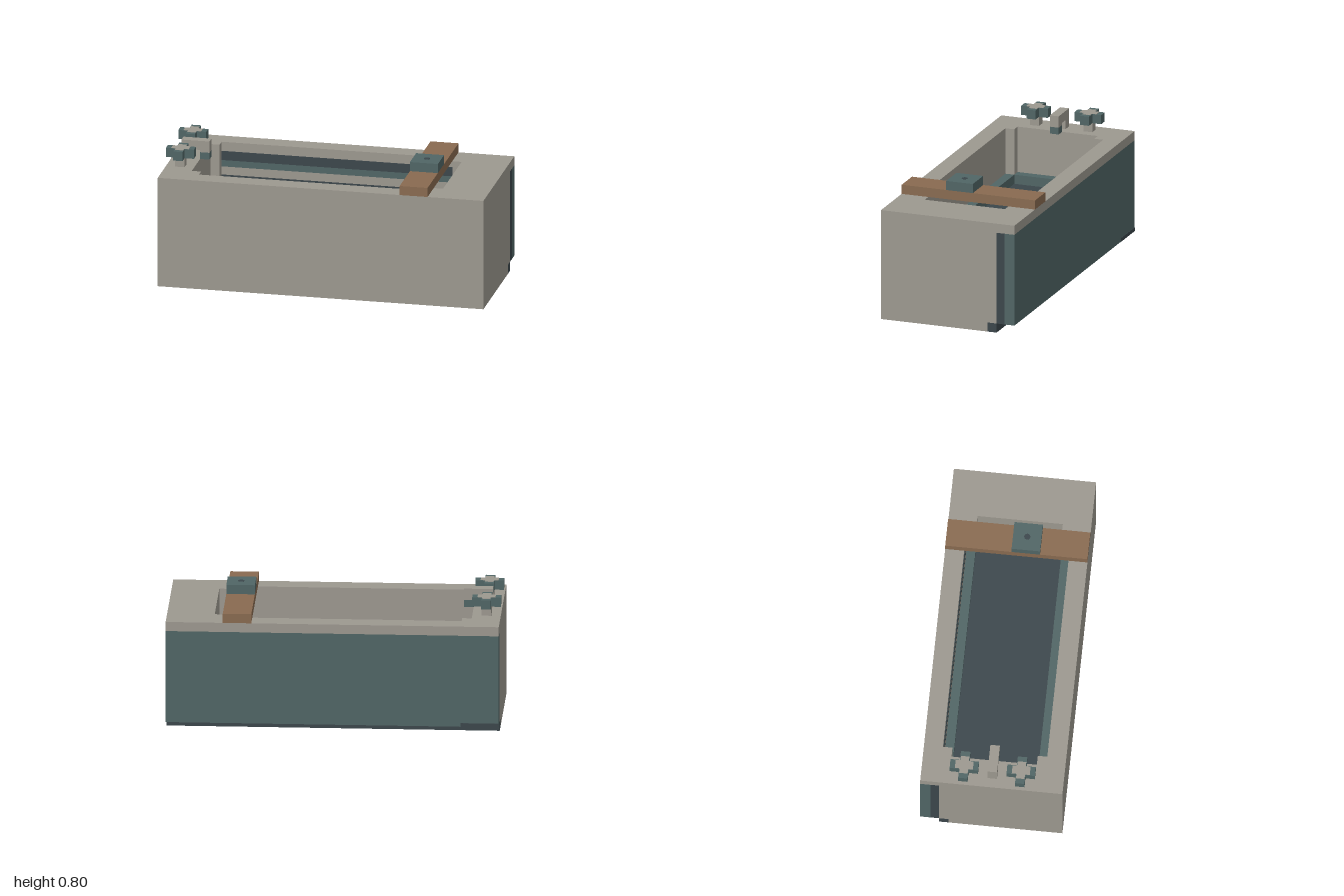
import * as THREE from 'three';

// All sizes are in grid cells: 35 long (x), 12 high (y), 15 deep (z, 0 is the back)
const U = 2 / 35;

const mat = (name, color) => {
  const m = new THREE.MeshStandardMaterial({ color });
  m.name = name;
  return m;
};

export function createModel() {
  const stone = mat('stone', 0x9c988f);
  const teal = mat('teal', 0x506565);
  const dark = mat('darkSlate', 0x3b464b);
  const wood = mat('wood', 0x886a50);

  const model = new THREE.Group();
  model.name = 'bathtub';
  model.scale.setScalar(U);
  const tub = new THREE.Group();
  tub.position.set(-17.5, 0, -7.5);
  model.add(tub);

  const add = (name, geometry, material, parent = tub) => {
    const mesh = new THREE.Mesh(geometry, material);
    mesh.name = name;
    parent.add(mesh);
    return mesh;
  };
  const box = (name, material, [x0, x1], [y0, y1], [z0, z1], parent = tub) => {
    const g = new THREE.BoxGeometry(x1 - x0, y1 - y0, z1 - z0);
    g.translate((x0 + x1) / 2, (y0 + y1) / 2, (z0 + z1) / 2);
    return add(name, g, material, parent);
  };
  // Horizontal slab from an outline of [x, z] corners
  const slab = (name, material, outline, [y0, y1], hole) => {
    const points = (list) => list.map(([x, z]) => new THREE.Vector2(x, -z));
    const shape = new THREE.Shape(points(outline));
    if (hole) shape.holes.push(new THREE.Path(points(hole)));
    const g = new THREE.ExtrudeGeometry(shape, { depth: y1 - y0, bevelEnabled: false });
    g.rotateX(-Math.PI / 2);
    g.translate(0, y0, 0);
    return add(name, g, material);
  };

  // Stone shell: a U-shaped wall open to the back, closed by the rim on top
  const basin = [[4, 2], [4, 3], [3, 3], [3, 12], [4, 12], [4, 13], [29, 13],
    [29, 12], [30, 12], [30, 3], [29, 3], [29, 2]];
  slab('wall', stone, [[0, 2], ...basin, [35, 2], [35, 15], [0, 15]], [1, 11]);
  slab('rim', stone, [[0, 0], [35, 0], [35, 15], [0, 15]], [11, 12], basin);
  box('base', stone, [0, 35], [0, 1], [3, 15]);

  // Basin floor with raised ledges on three sides
  box('basinFloor', dark, [4, 30], [5.8, 6], [3, 12]);
  box('backLedge', teal, [4, 29], [6, 7], [2, 3]);
  box('frontLedge', teal, [4, 29], [6, 7], [12, 13]);
  box('endLedge', teal, [3, 4], [6, 7], [3, 12]);

  // Back panel, its dark seam and the recessed plinth
  box('backPanel', teal, [0, 35], [1, 11], [0, 1.1]);
  box('panelSeam', dark, [0, 35], [1, 11], [1.1, 2]);
  box('plinth', dark, [0, 35], [0, 1], [2, 3]);
  box('panelChip', dark, [0, 4], [1, 1.4], [-0.03, 0]);

  // Striped lining inside the back wall
  const stripes = [[7, 7.7, stone], [7.7, 8.4, dark], [8.4, 9.3, stone],
    [9.3, 10, teal], [10, 11, dark]];
  for (const [y0, y1, material] of stripes) {
    box('liningStripe', material, [4, 29], [y0, y1], [2, 2.06]);
  }

  // Star-shaped tap knobs on stems
  for (const z of [4.5, 10.5]) {
    const tap = new THREE.Group();
    tap.name = 'tap';
    tap.position.set(1.5, 0, z);
    tub.add(tap);
    box('tapStem', stone, [-0.5, 0.5], [12, 13], [-0.5, 0.5], tap);
    box('knobHub', teal, [-0.5, 0.5], [13, 14], [-0.5, 0.5], tap);
    box('knobCap', stone, [-0.5, 0.5], [14, 14.03], [-0.5, 0.5], tap);
    for (let i = 0; i < 4; i++) {
      const arm = new THREE.Group();
      arm.name = 'knobArm';
      arm.rotation.y = i * Math.PI / 2;
      tap.add(arm);
      box('armBlock', teal, [0.5, 1.5], [13, 14], [-0.5, 0.5], arm);
      box('armInlay', stone, [0.5, 0.95], [14, 14.03], [-0.45, 0.45], arm);
    }
  }

  // Spout reaching over the basin
  box('spoutPost', stone, [1, 2], [12, 13], [7, 8]);
  box('spoutArm', stone, [1, 4], [13, 14], [7, 8]);
  box('spoutNose', stone, [3, 4], [12.75, 13], [7, 8]);
  box('spoutTip', teal, [3, 4], [12, 12.75], [7, 8]);

  // Wooden tray across the tub with a block of soap
  box('tray', wood, [26, 29], [12, 13], [0, 15]);
  box('soap', teal, [26, 29], [13, 14], [7, 10]);
  const dot = add('soapDot', new THREE.CylinderGeometry(0.33, 0.33, 0.04, 12), dark);
  dot.position.set(27.5, 14.01, 8.5);

  return model;
}
